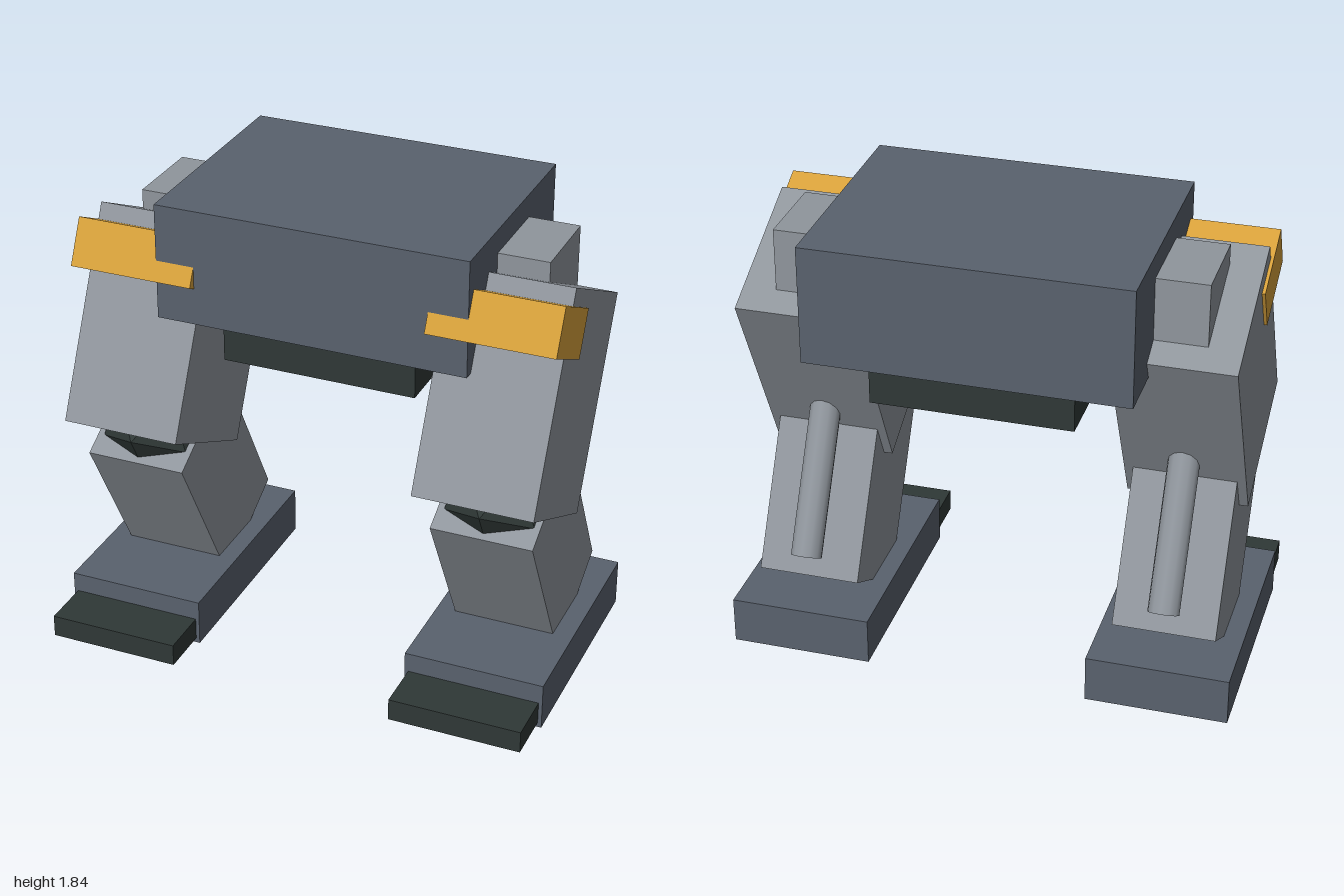
import * as THREE from 'three';

const material = (name, color) => {
  const m = new THREE.MeshStandardMaterial({ color });
  m.name = name;
  return m;
};

export function createModel() {
  const slate = material('slate', 0x59616d);
  const steel = material('steel', 0x8f959c);
  const amber = material('amber', 0xd6a03a);
  const charcoal = material('charcoal', 0x2f3836);

  const add = (parent, name, geometry, mat, x, y, z, tilt = 0) => {
    const mesh = new THREE.Mesh(geometry, mat);
    mesh.name = name;
    mesh.position.set(x, y, z);
    mesh.rotation.x = tilt;
    parent.add(mesh);
    return mesh;
  };
  const box = (w, h, d) => new THREE.BoxGeometry(w, h, d);

  const model = new THREE.Group();
  model.name = 'walkerLegs';

  // Hull and the pelvis block under it
  add(model, 'hull', box(1.245, 0.465, 0.94), slate, 0, 1.6075, -0.155);
  add(model, 'pelvis', box(0.78, 0.2, 0.775), charcoal, 0, 1.3, -0.157);

  for (const [side, s] of [['left', 1], ['right', -1]]) {
    const leg = new THREE.Group();
    leg.name = side + 'Leg';
    leg.position.x = s * 0.7175;
    model.add(leg);

    // Hip joint, reaching inward into the hull
    add(leg, 'hipJoint', box(0.345, 0.345, 0.345), steel, s * -0.065, 1.5725, -0.1525);

    // Thigh leaning back, with its coloured guard
    const lean = -0.454;
    add(leg, 'thigh', box(0.475, 0.856, 0.595), steel, 0, 1.195, 0.032, lean);
    add(leg, 'thighGuard', box(0.5, 0.19, 0.308), amber, 0, 1.5575, 0.17, lean);

    // Shin leaning forward, carrying the knee and the rear piston
    const shin = new THREE.Group();
    shin.name = 'lowerLeg';
    shin.position.set(0, 0.518, -0.017);
    shin.rotation.x = 0.5;
    leg.add(shin);
    add(shin, 'shin', box(0.405, 0.78, 0.471), steel, 0, 0, 0);
    add(shin, 'knee', new THREE.IcosahedronGeometry(0.21), charcoal, 0, 0.386, 0.03);
    add(shin, 'piston', new THREE.CylinderGeometry(0.062, 0.062, 0.64, 12), steel, 0, 0.011, -0.2965);

    // Foot and toe plate
    add(leg, 'foot', box(0.56, 0.19, 0.94), slate, s * 0.0025, 0.095, -0.05);
    add(leg, 'toe', box(0.53, 0.09, 0.32), charcoal, s * 0.0025, 0.065, 0.463);
  }
  return model;
}
